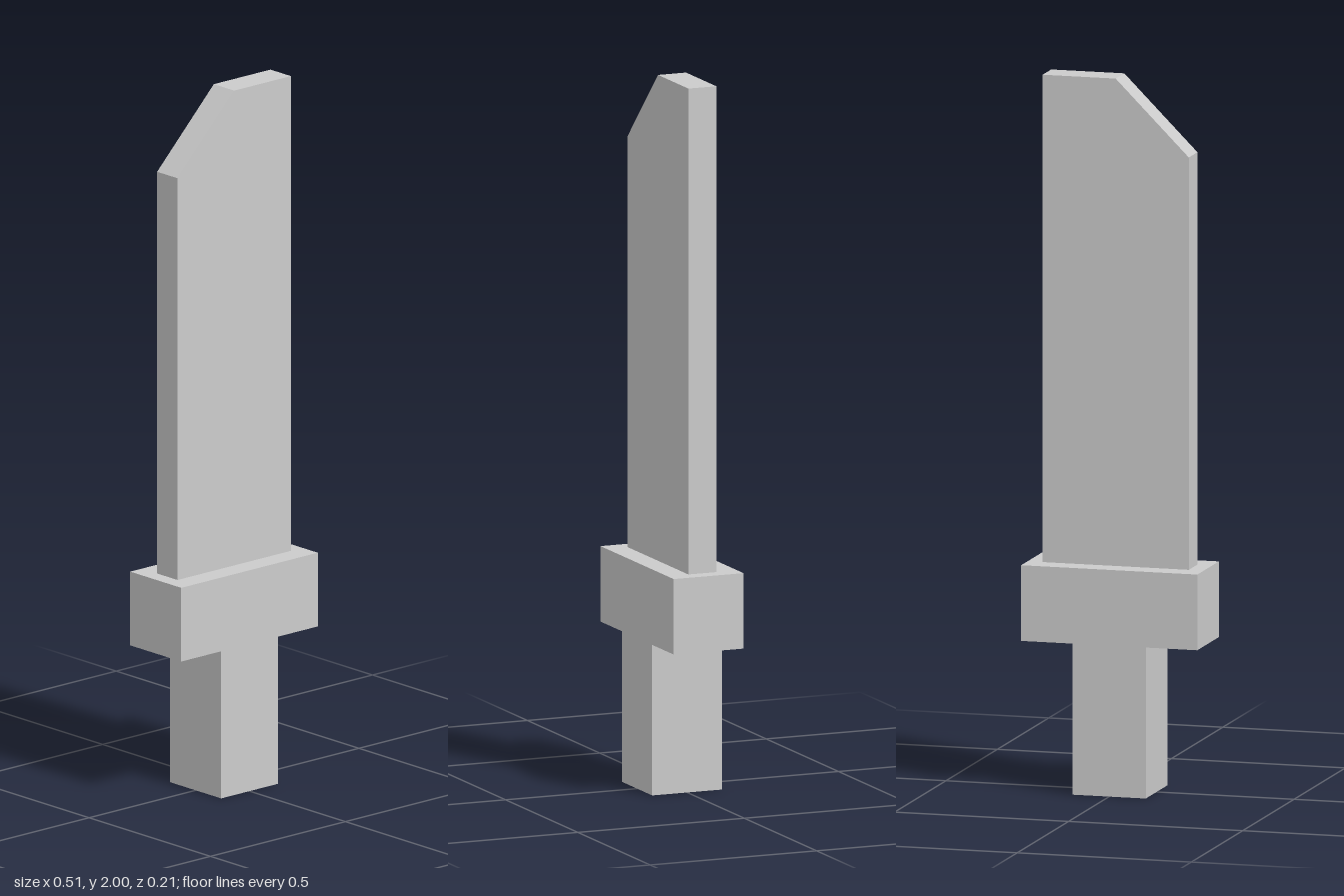
import * as THREE from 'three';

export function createModel() {
  const group = new THREE.Group();
  const material = new THREE.MeshStandardMaterial({ color: 0xcccccc, flatShading: true });

  const add = (name, geometry, y = 0) => {
    const mesh = new THREE.Mesh(geometry, material);
    mesh.name = name;
    mesh.position.y = y;
    group.add(mesh);
  };

  const gripTop = 0.423, guardTop = 0.635;
  const guardHeight = guardTop - gripTop;

  // Square grip and wider crossguard of the same depth
  add('grip', new THREE.BoxGeometry(0.21, gripTop, 0.21), gripTop / 2);
  add('guard', new THREE.BoxGeometry(0.506, guardHeight, 0.21), gripTop + guardHeight / 2);

  // Flat blade with one corner of the tip cut off at 45 degrees
  const half = 0.21, thickness = 0.084;
  const outline = new THREE.Shape([
    new THREE.Vector2(-half, guardTop),
    new THREE.Vector2(half, guardTop),
    new THREE.Vector2(half, 2),
    new THREE.Vector2(0, 2),
    new THREE.Vector2(-half, 2 - half),
  ]);
  const blade = new THREE.ExtrudeGeometry(outline, { depth: thickness, bevelEnabled: false });
  blade.translate(0, 0, -thickness / 2);
  add('blade', blade);

  return group;
}
